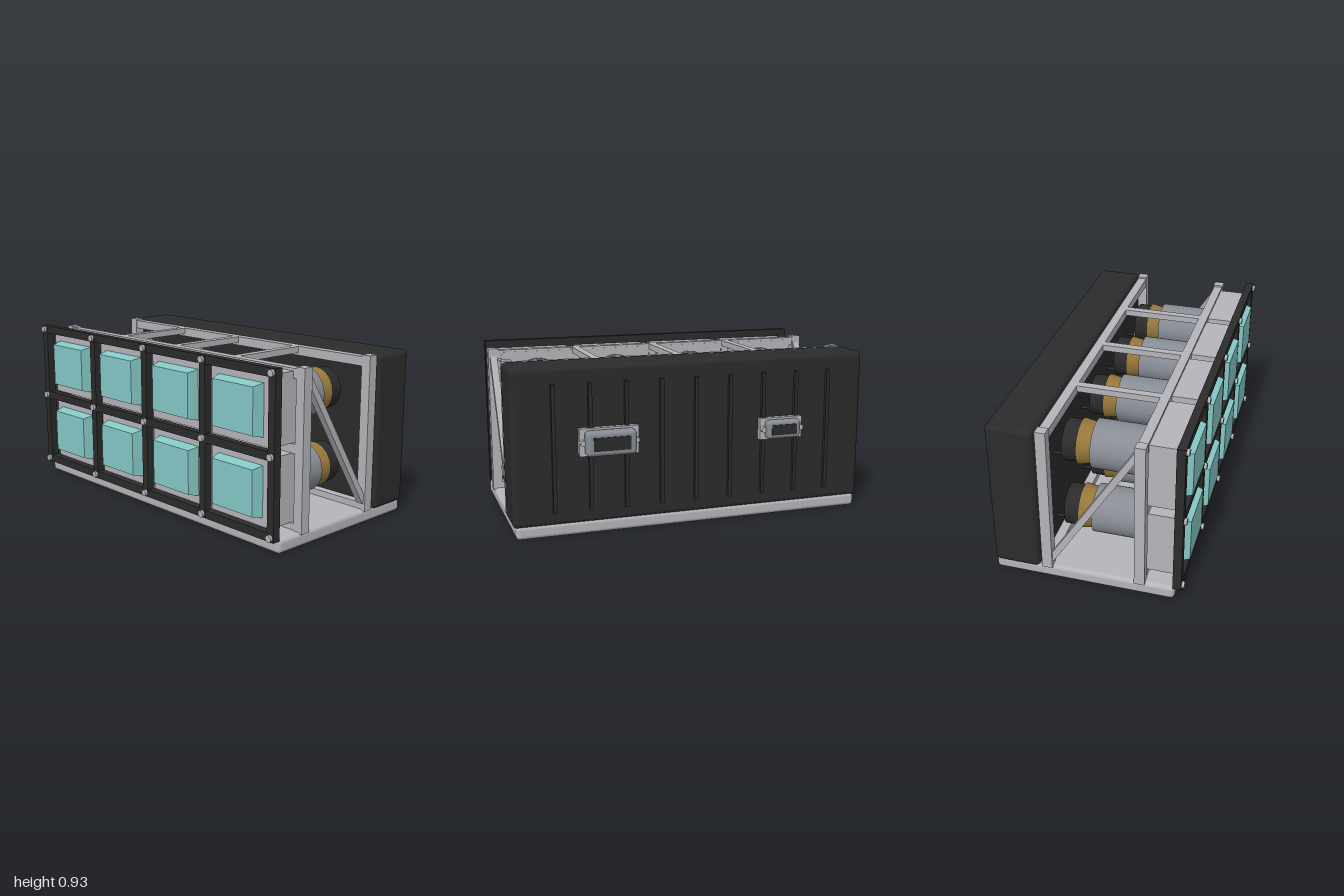
import * as THREE from 'three';
import { RoundedBoxGeometry } from 'three/addons/geometries/RoundedBoxGeometry.js';

const mat = (name, color) => new THREE.MeshStandardMaterial({ name, color });

export function createModel() {
  const model = new THREE.Group();
  model.name = 'displayRack';
  const black = mat('black', 0x2b2b2b);
  const grey = mat('lightGrey', 0xb4b4ba);
  const steel = mat('steel', 0x878c95);
  const gold = mat('gold', 0x96763a);
  const teal = mat('teal', 0x84c8c6);

  const add = (name, geometry, material, x = 0, y = 0, z = 0, parent = model) => {
    const mesh = new THREE.Mesh(geometry, material);
    mesh.name = name;
    mesh.position.set(x, y, z);
    parent.add(mesh);
    return mesh;
  };
  // Box given by its limits on each axis
  const block = (name, material, x0, x1, y0, y1, z0, z1, radius = 0, parent = model) => {
    const size = [x1 - x0, y1 - y0, z1 - z0];
    const geo = radius ? new RoundedBoxGeometry(...size, 4, radius) : new THREE.BoxGeometry(...size);
    return add(name, geo, material, (x0 + x1) / 2, (y0 + y1) / 2, (z0 + z1) / 2, parent);
  };
  // Cylinder along z from z0 (radius r0) to z1 (radius r1)
  const tube = (name, material, x, y, z0, z1, r0, r1 = r0, sides = 40, parent = model) => {
    const geo = new THREE.CylinderGeometry(r1, r0, z1 - z0, sides).rotateX(Math.PI / 2);
    return add(name, geo, material, x, y, (z0 + z1) / 2, parent);
  };

  // Base tray and rear case
  block('base', grey, -0.985, 0.985, 0, 0.075, -0.46, 0.51, 0.022);
  block('rearCase', black, -1, 1, 0.06, 0.905, -0.462, -0.21, 0.03);
  for (let i = -4; i <= 4; i++) {
    const x = i * 0.195;
    block('caseRib', black, x - 0.01, x + 0.01, 0.135, 0.815, -0.482, -0.455);
  }

  // Structural frame: end posts, cross rails, top beams and side braces
  for (const side of [-1, 1]) {
    for (const z of [-0.172, 0.327]) {
      const x = side * 0.963;
      block('endPost', grey, x - 0.027, x + 0.027, 0.065, 0.905, z - 0.028, z + 0.028);
    }
    const dy = 0.71, dz = 0.445;
    const brace = add('sideBrace', new THREE.BoxGeometry(0.04, Math.hypot(dy, dz) + 0.03, 0.035),
      grey, side * 0.96, 0.485, 0.078);
    brace.rotation.x = Math.atan2(dz, dy);
  }
  for (const z of [-0.172, 0.327]) {
    block('topRail', grey, -0.94, 0.94, 0.845, 0.895, z - 0.025, z + 0.025);
    block('bottomRail', grey, -0.94, 0.94, 0.07, 0.11, z - 0.025, z + 0.025);
  }
  block('middleRail', grey, -0.94, 0.94, 0.47, 0.52, 0.302, 0.352);
  for (const x of [-0.475, 0, 0.475]) {
    block('topBeam', grey, x - 0.022, x + 0.022, 0.86, 0.895, -0.15, 0.305);
    block('frontPost', grey, x - 0.022, x + 0.022, 0.1, 0.85, 0.304, 0.35);
  }

  // Front lattice with bolts at the crossings
  const columns = [-0.957, -0.47, 0, 0.47, 0.957];
  const rows = [0.09, 0.497, 0.904];
  for (const x of columns) block('latticeUpright', black, x - 0.022, x + 0.022, 0.068, 0.926, 0.5, 0.545);
  for (const y of rows) {
    block('latticeBar', black, -0.978, 0.978, y - 0.022, y + 0.022, 0.501, 0.544);
    for (const x of columns) tube('latticeBolt', grey, x, y, 0.54, 0.56, 0.018, 0.018, 12);
  }

  // Tapered screen: front corners pulled inwards
  const screenGeo = new THREE.BoxGeometry(0.32, 0.274, 0.07);
  const p = screenGeo.attributes.position;
  for (let i = 0; i < p.count; i++) {
    if (p.getZ(i) > 0) p.setXY(i, p.getX(i) * 0.89, p.getY(i) * 0.88);
  }
  screenGeo.computeVertexNormals();

  // Eight projector units: housing, screen, barrel, collar, cap and cable
  for (const y of [0.292, 0.702]) {
    for (const x of [-0.705, -0.235, 0.235, 0.705]) {
      const unit = new THREE.Group();
      unit.name = 'projectorUnit';
      unit.position.set(x, y, 0);
      model.add(unit);
      block('housing', grey, -0.21, 0.21, -0.18, 0.18, 0.3, 0.5, 0, unit);
      add('screen', screenGeo, teal, 0, 0, 0.525, unit);
      tube('flange', steel, 0, 0, 0.287, 0.302, 0.138, 0.138, 40, unit);
      tube('barrel', steel, 0, 0, 0.025, 0.29, 0.13, 0.13, 40, unit);
      tube('collar', gold, 0, 0, -0.052, 0.026, 0.121, 0.108, 40, unit);
      tube('endCap', black, 0, 0, -0.13, -0.05, 0.111, 0.111, 40, unit);
      const path = new THREE.CatmullRomCurve3([
        new THREE.Vector3(0, -0.06, -0.125), new THREE.Vector3(0, -0.07, -0.145),
        new THREE.Vector3(0, -0.105, -0.155)]);
      add('cable', new THREE.TubeGeometry(path, 10, 0.013, 10), gold, 0, 0, 0, unit);
      tube('cablePlug', black, 0, -0.1, -0.212, -0.145, 0.009, 0.009, 10, unit);
    }
  }

  // Rear connectors: mounting plate, side pins, rounded body and dark inset
  for (const [x, w, h, back] of [[0.49, 0.135, 0.066, -0.557], [-0.49, 0.1, 0.052, -0.54]]) {
    const unit = new THREE.Group();
    unit.name = 'rearConnector';
    unit.position.set(x, 0.505, 0);
    model.add(unit);
    block('mountPlate', grey, -w - 0.025, w + 0.025, -h - 0.008, h + 0.008, -0.492, -0.46, 0, unit);
    block('connectorBody', steel, -w, w, -h, h, back, -0.485, 0.022, unit);
    block('connectorInset', black, -w * 0.74, w * 0.74, -h * 0.55, h * 0.55, back - 0.003, back + 0.004, 0, unit);
    for (const s of [-1, 1]) tube('platePin', grey, s * (w + 0.008), 0, -0.518, -0.488, 0.016, 0.016, 16, unit);
  }
  return model;
}
